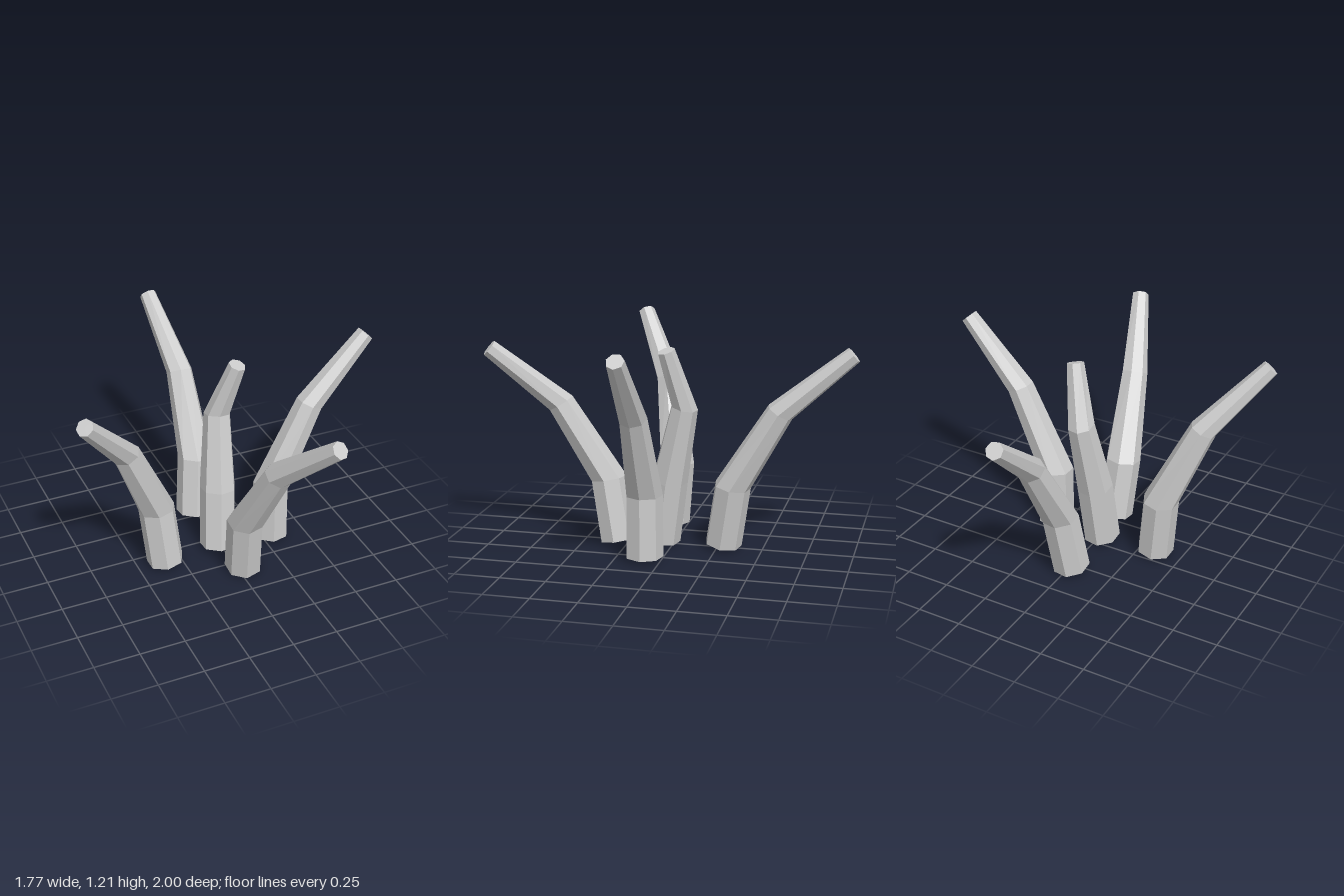
import * as THREE from 'three';

const UP = new THREE.Vector3(0, 1, 0);
const SIDES = 7;
const RADII = [0.103, 0.101, 0.075, 0.048]; // base, lower bend, upper bend, tip

// Centre points of each stem, from base to tip
const STEMS = {
  leftStem: [[0.303, 0.02, 0.09], [0.303, 0.362, 0.09], [0.523, 0.827, 0.09], [0.847, 1.185, 0.09]],
  rightStem: [[-0.343, 0.02, 0.09], [-0.378, 0.365, 0.07], [-0.573, 0.818, 0.16], [-0.85, 1.165, 0.365]],
  backStem: [[-0.012, 0.02, -0.28], [0.022, 0.362, -0.335], [0.036, 0.787, -0.59], [0, 1.108, -0.97]],
  frontStem: [[0.034, 0.018, 0.308], [0.016, 0.362, 0.367], [0.08, 0.79, 0.615], [0.23, 1.107, 0.964]],
  centreStem: [[-0.012, 0.018, 0.068], [0.008, 0.366, 0.02], [0.043, 0.79, -0.07], [0.123, 1.11, 0.012]],
};

// A tapered, bent stem: each ring of a cylinder is moved onto the path,
// square to the segment leading up to it
function bentStem(name, path) {
  const points = path.map(p => new THREE.Vector3(...p));
  const last = points.length - 1;
  const turns = points.map((p, i) => {
    const k = Math.max(i, 1);
    const along = points[k].clone().sub(points[k - 1]).normalize();
    return new THREE.Quaternion().setFromUnitVectors(UP, along);
  });

  const geometry = new THREE.CylinderGeometry(1, 1, last, SIDES, last, false, Math.PI / 2);
  const position = geometry.attributes.position;
  const v = new THREE.Vector3();
  for (let i = 0; i < position.count; i++) {
    v.fromBufferAttribute(position, i);
    const ring = Math.round(v.y + last / 2);
    v.setY(0).multiplyScalar(RADII[ring]).applyQuaternion(turns[ring]).add(points[ring]);
    position.setXYZ(i, v.x, v.y, v.z);
  }
  geometry.computeVertexNormals();

  const material = new THREE.MeshStandardMaterial({ color: 0xcccccc, flatShading: true });
  const mesh = new THREE.Mesh(geometry, material);
  mesh.name = name;
  return mesh;
}

export function createModel() {
  const group = new THREE.Group();
  group.name = 'stemCluster';
  for (const [name, path] of Object.entries(STEMS)) group.add(bentStem(name, path));
  return group;
}
